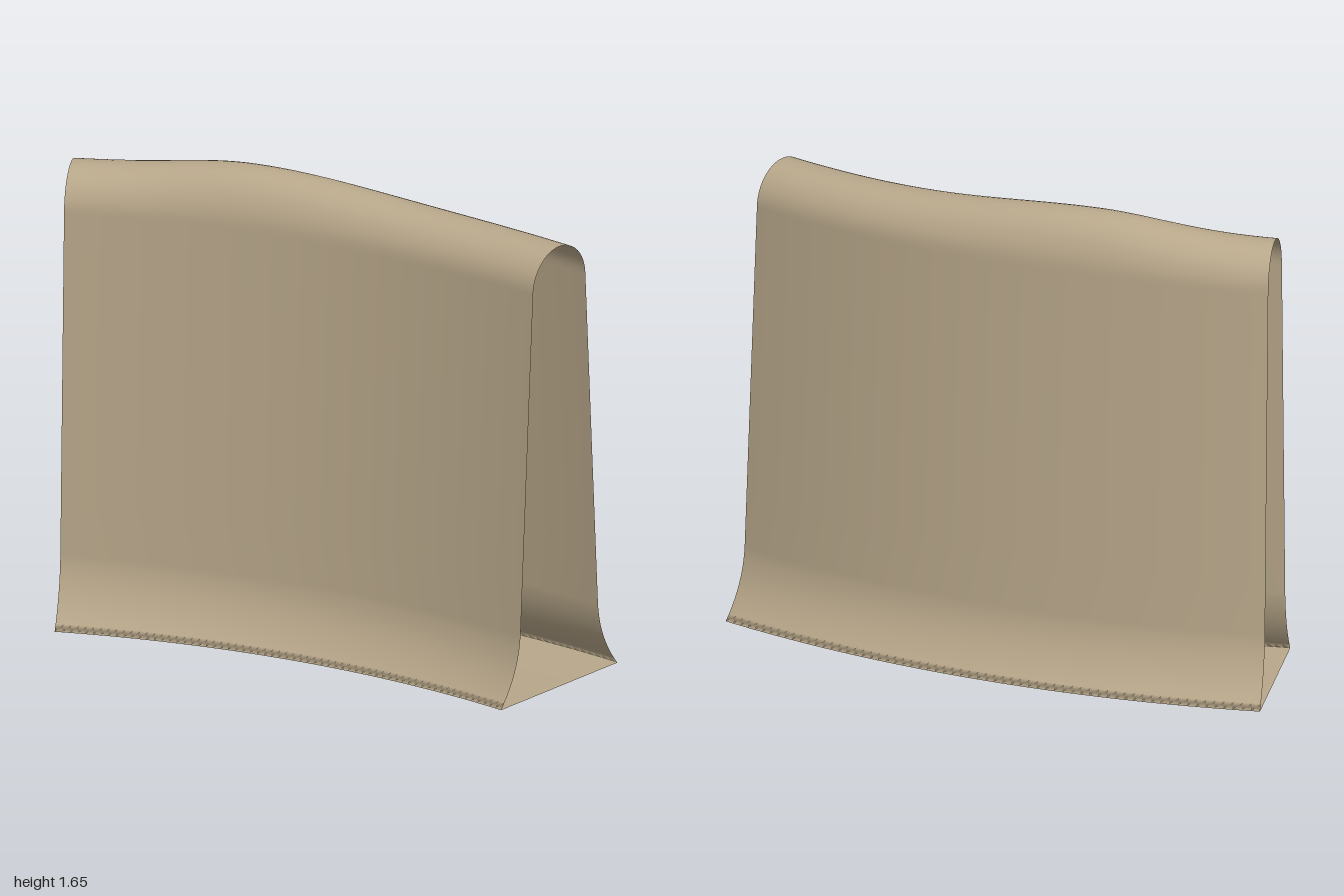
import * as THREE from 'three';

const RADIUS = 3.564;          // centre-line radius of the curved plan
const CENTRE_Z = 3.507;        // arc centre lies in front of the wall
const HALF_ANGLE = Math.PI / 12;
const ARC_STEPS = 64;

// Height of the ridge above its lowest level: a lopsided swell left of centre
function swell(x) {
  const d = x + 0.3;
  const s = d < 0 ? 0.255 : 0.376;
  return 0.053 * Math.exp(-(d * d) / (2 * s * s));
}

// Half section from the flared foot up to the ridge: [offset, height, share of the swell]
function halfSection() {
  const pts = [];
  const foot = new THREE.QuadraticBezierCurve(
    new THREE.Vector2(0.3, 0), new THREE.Vector2(0.21, 0.11), new THREE.Vector2(0.2, 0.24));
  for (const p of foot.getPoints(10)) pts.push([p.x, p.y, 0]);
  for (let i = 1; i < 6; i++) {
    const t = i / 6;
    pts.push([0.2 - 0.065 * t, 0.24 + 1.22 * t, 0]);
  }
  for (let i = 0; i <= 12; i++) {
    const a = (i / 12) * Math.PI / 2;
    pts.push([0.135 * Math.cos(a), 1.46 + 0.14 * Math.sin(a), Math.sin(a)]);
  }
  return pts;
}

// Closed section swept along the arc, with open ends
function wallGeometry() {
  const half = halfSection();
  const mirrored = half.slice(0, -1).reverse().map(([o, y, s]) => [-o, y, s]);
  const section = [...half, ...mirrored];
  const n = section.length;
  const positions = [];
  const index = [];
  for (let i = 0; i <= ARC_STEPS; i++) {
    const a = HALF_ANGLE * (2 * i / ARC_STEPS - 1);
    const rise = swell(RADIUS * Math.sin(a));
    for (const [offset, y, share] of section) {
      const r = RADIUS - offset; // positive offset faces the front
      positions.push(r * Math.sin(a), y + rise * share, CENTRE_Z - r * Math.cos(a));
    }
  }
  for (let i = 0; i < ARC_STEPS; i++) {
    for (let j = 0; j < n; j++) {
      const k = (j + 1) % n; // the last strip is the flat floor
      const a = i * n + j, b = a + n, c = (i + 1) * n + k, d = i * n + k;
      index.push(a, b, c, a, c, d);
    }
  }
  const geometry = new THREE.BufferGeometry();
  geometry.setAttribute('position', new THREE.Float32BufferAttribute(positions, 3));
  geometry.setIndex(index);
  geometry.computeVertexNormals();
  return geometry;
}

export function createModel() {
  const group = new THREE.Group();
  group.name = 'curvedWall';
  const material = new THREE.MeshStandardMaterial({ color: 0xb8a78a, side: THREE.DoubleSide });
  const wall = new THREE.Mesh(wallGeometry(), material);
  wall.name = 'wallShell';
  group.add(wall);
  return group;
}
